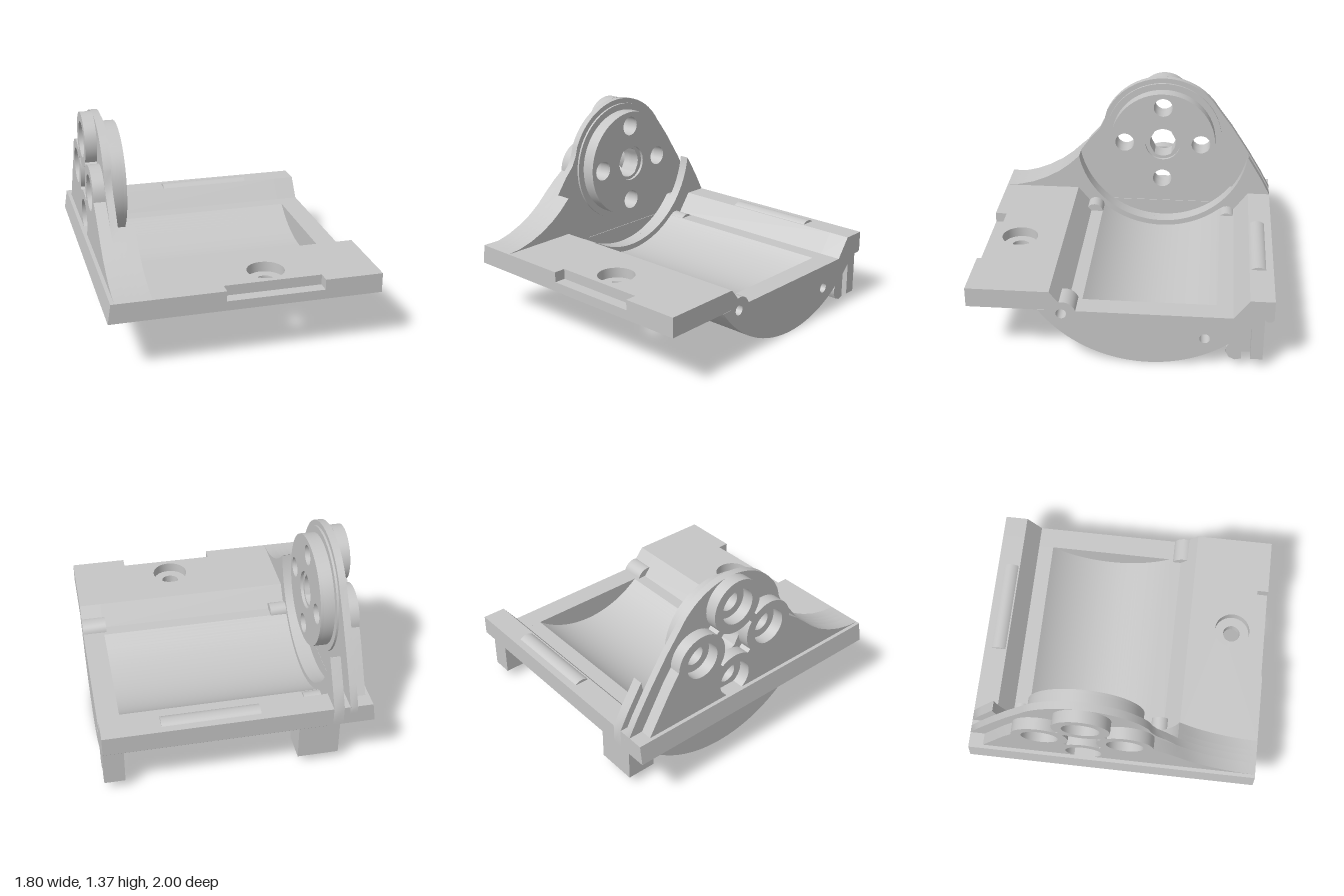
import * as THREE from 'three';
import { toCreasedNormals } from 'three/addons/utils/BufferGeometryUtils.js';

const AXIS = [-0.19, 0.89]; // shared centre (z, y) of the cradle, scoop and disc
const TOP = 0.505, FLOOR = 0.37;

export function createModel() {
  const model = new THREE.Group();
  model.name = 'bracket';
  const grey = new THREE.MeshStandardMaterial({ color: 0xc6c6c6 });
  grey.name = 'plain grey';

  // Points along an arc in degrees
  const arc = ([cx, cy], r, a0, a1, n = 24) => Array.from({ length: n + 1 }, (_, i) => {
    const a = THREE.MathUtils.degToRad(a0 + (a1 - a0) * i / n);
    return [cx + r * Math.cos(a), cy + r * Math.sin(a)];
  });
  const circle = (c, r, n = 40) => arc(c, r, 0, 360 * (n - 1) / n, n - 1);

  const add = (name, geometry) => {
    const mesh = new THREE.Mesh(toCreasedNormals(geometry, 0.5), grey);
    mesh.name = name;
    model.add(mesh);
  };
  // Outline runs counter-clockwise and holes clockwise, so hole walls face inwards
  const wind = (points, clockwise) => {
    const list = points.map(([a, b]) => new THREE.Vector2(a, b));
    return THREE.ShapeUtils.isClockWise(list) === clockwise ? list : list.reverse();
  };
  const extrude = (points, holes, depth) => {
    const shape = new THREE.Shape(wind(points, false));
    shape.holes = holes.map((h) => new THREE.Path(wind(h, true)));
    return new THREE.ExtrudeGeometry(shape, { depth, bevelEnabled: false });
  };
  // Section drawn as (z, y) and swept from x0 to x1
  const sweepX = (name, x0, x1, points, holes = []) => {
    const flip = (list) => list.map(([z, y]) => [-z, y]);
    const g = extrude(flip(points), holes.map(flip), x1 - x0);
    add(name, g.rotateY(Math.PI / 2).translate(x0, 0, 0));
  };
  // Plan drawn as (x, z) and swept from y0 to y1
  const sweepY = (name, y0, y1, points, holes = []) => {
    const flip = (list) => list.map(([x, z]) => [x, -z]);
    const g = extrude(flip(points), holes.map(flip), y1 - y0);
    add(name, g.rotateX(-Math.PI / 2).translate(0, y0, 0));
  };

  // Cradle body with a round belly and a trough
  const belly = arc(AXIS, 0.889, -36, -144, 48);
  const rearLip = [[-0.94, FLOOR], [-0.95, 0.355], [-0.985, 0.355], [-1, FLOOR], [-1, TOP]];
  const troughRear = [[-0.84, TOP], [-0.74, FLOOR]];
  const troughFront = [[0.34, FLOOR], [0.45, TOP], [0.45, FLOOR]];
  const recess = arc(AXIS, 0.683, -130.4, -49.6, 40);
  const pinHoles = [circle([0.375, 0.345], 0.035, 20), circle([-0.56, 0.205], 0.035, 20)];
  sweepX('cradle', -0.62, 0.75, [...belly, ...rearLip, ...troughRear, ...recess, ...troughFront]);
  sweepX('cradleEnd', 0.75, 0.9, [...belly, ...rearLip, ...troughRear, ...troughFront], pinHoles);
  sweepX('cradleCap', -0.75, -0.73, belly);

  // Pin seats in the trough corners
  sweepX('pinBoss', 0.73, 0.9,
    [...arc([0.365, 0.345], 0.088, 0, 180, 16), [0.277, 0.3], [0.453, 0.3]], [pinHoles[0]]);
  sweepX('frontPin', -0.62, -0.5, circle([0.315, 0.36], 0.065, 24));
  sweepX('rearPin', -0.62, -0.5, circle([-0.685, 0.322], 0.068, 24));

  // Front plate with a counterbored hole and an edge notch
  sweepY('plateLower', FLOOR, 0.435, [[-0.62, 0.45], [0.9, 0.45], [0.9, 1], [-0.62, 1]],
    [circle([0.18, 0.76], 0.06)]);
  sweepY('plateUpper', 0.435, TOP, [[-0.62, 0.45], [0.9, 0.45], [0.9, 1], [0.51, 1],
    [0.51, 0.92], [-0.146, 0.92], [-0.146, 1], [-0.62, 1]], [circle([0.18, 0.76], 0.125)]);

  // Rounded catch on the rear edge
  sweepX('rearCatch', -0.146, 0.51, circle([-0.9, 0.452], 0.073, 40));

  // Base strip below the wall, with a slanted outer side
  add('wallBase', extrude([[-0.905, FLOOR], [-0.73, FLOOR], [-0.73, TOP], [-0.885, TOP]], [], 2)
    .translate(0, 0, -1));

  // Wall: curved foot in front, round head, straight slope behind
  const frontFoot = [[1, 0.45], [1, TOP], [0.9, 0.515], [0.8, 0.54], [0.7, 0.58], [0.6, 0.635],
    [0.52, 0.695], [0.44, 0.77]];
  const rearFoot = [[-0.83, 0.8], [-0.93, 0.635], [-1, TOP], [-1, 0.45]];
  const hub = [-0.19, 0.895];
  const holeCentres = [0, 90, 180, 270].map((a) => arc(hub, 0.285, a, a, 1)[0]);
  const [frontC, topC, rearC] = holeCentres;
  const boltHoles = holeCentres.map((c) => circle(c, 0.07, 28));
  // Bore with slightly waisted corners
  const bore = [...arc(hub, 0.108, 55, 125, 8), ...arc(hub, 0.097, 145, 215, 6),
    ...arc(hub, 0.108, 235, 305, 8), ...arc(hub, 0.097, 325, 395, 6)];
  const wallOutline = [...frontFoot, [0.36, 0.88], [0.295, 0.95], [0.26, 1.02],
    ...arc(hub, 0.473, 24, 148, 36), [-0.7, 1.0], ...rearFoot];
  sweepX('wall', -0.78, -0.73, wallOutline, [...boltHoles, bore]);

  // Outer layer: joined bosses with counterbores and an open gap between them
  const R = 0.19;
  const gap = holeCentres.flatMap((c, i) => arc(c, R, 215 + 90 * i, 145 + 90 * i, 12));
  sweepX('wallBosses', -0.86, -0.78, [...frontFoot, [0.36, 0.84],
    ...arc(frontC, R, 0, 128, 20), ...arc(topC, R, -38, 218, 36), ...arc(rearC, R, 52, 180, 20),
    [-0.73, 0.8], [-0.9, TOP], [-0.9, 0.45]],
  [...holeCentres.map((c) => circle(c, 0.125, 32)), gap]);

  // Stepped disc on the inner side
  sweepX('discStep', -0.73, -0.715, circle(hub, 0.437, 64), [...boltHoles, bore]);
  sweepX('discCore', -0.715, -0.64, circle(hub, 0.39, 64), [...boltHoles, bore]);
  sweepX('discFace', -0.64, -0.62, circle(hub, 0.39, 64), [...boltHoles, circle(hub, 0.13)]);

  // Thick wall foot, scooped out around the disc, with a thin fin at the rear
  const footBottom = [[-1, FLOOR], ...[...belly].reverse(), [1, FLOOR]];
  sweepX('scoopedFoot', -0.73, -0.69,
    [...frontFoot, ...arc(AXIS, 0.643, -11, -143.2, 44), [-1, TOP], ...footBottom]);
  sweepX('scoopedFootFin', -0.69, -0.62,
    [...frontFoot, ...arc(AXIS, 0.643, -11, -172, 48), ...rearFoot.slice(0, 3), ...footBottom]);

  // Rear legs: a hooked one at the open end and a hollow one near the wall
  const slot = [[-0.8, 0.065], [-0.8, 0.24], [-0.86, 0.3], [-0.86, 0.065]];
  const legBack = [[-0.94, 0.065], [-0.94, 0.38], [-0.8, 0.38]];
  const hook = [[-0.74, 0.22], [-0.72, 0.18], [-0.7, 0.145], [-0.7, 0.11], [-0.72, 0.073],
    [-0.76, 0.055]];
  sweepX('hookedLeg', 0.82, 0.9, [...hook, ...slot, ...legBack]);
  sweepX('hookedLegSide', 0.76, 0.82, [...hook, [-0.8, 0.065], ...legBack]);
  const legFront = [[-0.74, 0.25], [-0.74, 0.065]];
  sweepX('hollowLegCore', -0.64, -0.46, [...legFront, ...slot, ...legBack]);
  for (const x of [-0.69, -0.46]) sweepX('hollowLegSide', x, x + 0.05, [...legFront, ...legBack]);

  return model;
}
